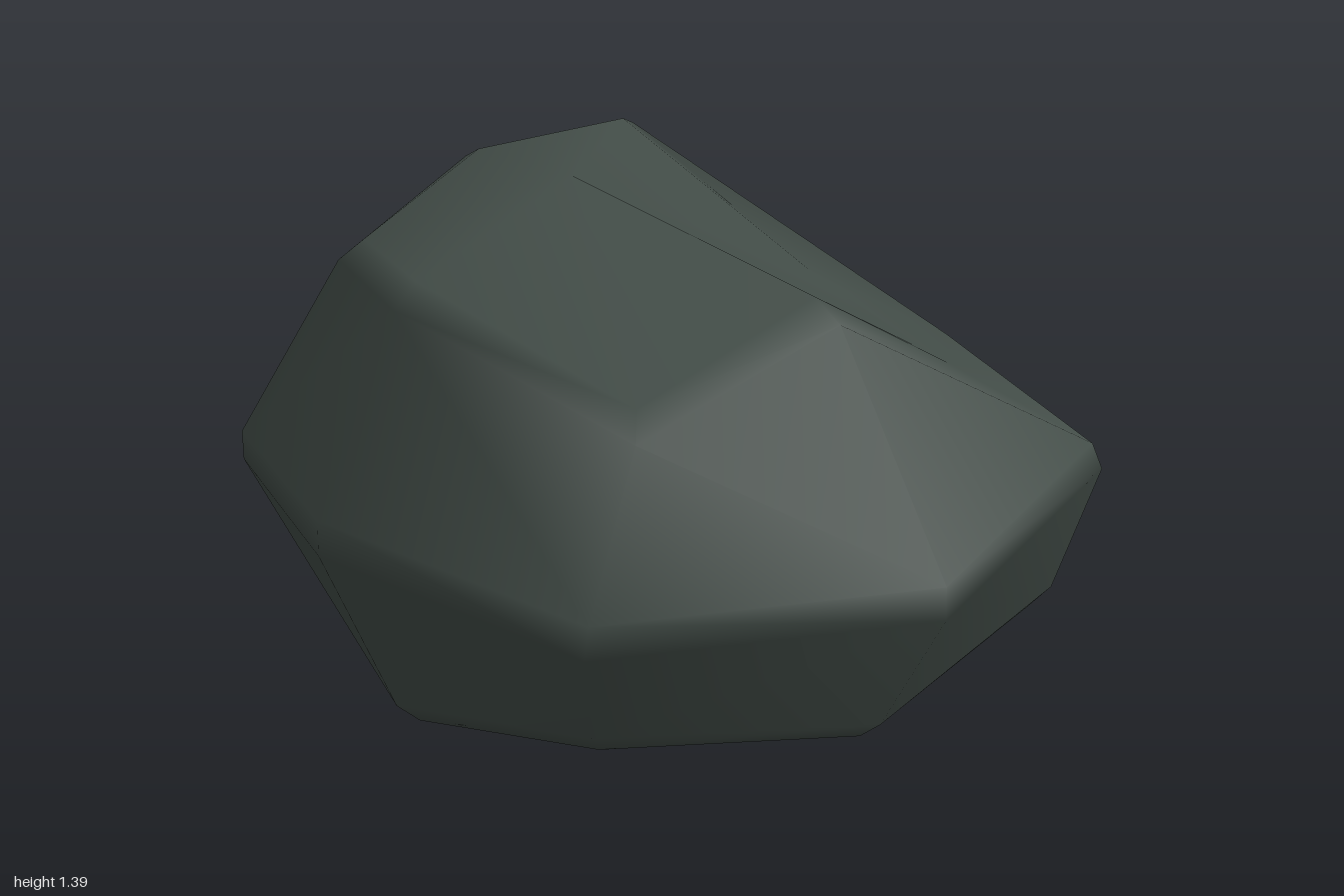
import * as THREE from 'three';

// Cross-sections of the boulder, eight corners each, running left-front-right-back
const toVectors = list => list.map(p => new THREE.Vector3(...p));
const lower = toVectors([
  [-0.88, 0.345, 0], [-0.4, 0.245, 0.61], [0.12, 0.345, 0.81], [0.62, 0.245, 0.37],
  [0.88, 0.345, -0.25], [0.46, 0.245, -0.63], [-0.13, 0.345, -0.95], [-0.61, 0.225, -0.51]]);
const middle = toVectors([
  [-1.017, 0.66, 0.14], [-0.54, 0.73, 0.765], [0.15, 0.66, 0.965], [0.815, 0.63, 0.465],
  [1.016, 0.75, -0.225], [0.53, 0.78, -0.805], [-0.17, 0.91, -0.965], [-0.875, 0.76, -0.65]]);
const upper = toVectors([
  [-0.72, 1.18, 0.1], [-0.4, 1.24, 0.55], [0.2, 1.07, 0.73], [0.49, 1.22, 0.3],
  [0.62, 0.99, -0.1], [0.24, 1.05, -0.41], [-0.22, 1.39, -0.45], [-0.53, 1.35, -0.2]]);
const bottom = new THREE.Vector3(0.02, 0, -0.08);
const top = new THREE.Vector3(-0.17, 1.39, 0.09);

const N = 8, BEVEL = 0.045;

// Move every corner of a ring a short way towards its target
const inset = (ring, target) => ring.map((p, i) => {
  const d = (target[i] ?? target).clone().sub(p).setLength(BEVEL);
  return d.add(p);
});

function boulderGeometry() {
  const points = [
    ...inset(lower, bottom), ...inset(lower, middle),
    ...inset(middle, lower), ...inset(middle, upper),
    ...inset(upper, middle), ...inset(upper, top), bottom, top];
  const bottomIndex = 6 * N, topIndex = 6 * N + 1;

  // Ring of quads between two rows, each split along its outward fold
  const strip = (r0, r1) => {
    const index = [];
    for (let i = 0; i < N; i++) {
      const j = (i + 1) % N;
      const a = r0 * N + i, b = r0 * N + j, c = r1 * N + j, d = r1 * N + i;
      const n = new THREE.Triangle(points[a], points[b], points[c]).getNormal(new THREE.Vector3());
      if (n.dot(points[d].clone().sub(points[a])) <= 0) index.push(a, b, c, a, c, d);
      else index.push(a, b, d, b, c, d);
    }
    return index;
  };
  const fans = [];
  for (let i = 0; i < N; i++) {
    const j = (i + 1) % N;
    fans.push(bottomIndex, j, i, 5 * N + i, 5 * N + j, topIndex);
  }

  // Each band is smooth in itself; bevels blend from one band to the next
  const bands = [...fans, ...strip(1, 2), ...strip(3, 4)];
  const bevels = [...strip(0, 1), ...strip(2, 3), ...strip(4, 5)];
  const geometry = new THREE.BufferGeometry().setFromPoints(points);
  geometry.setIndex(bands);
  geometry.computeVertexNormals();
  geometry.setIndex([...bands, ...bevels]);
  return geometry;
}

export function createModel() {
  const stone = new THREE.MeshStandardMaterial({ color: 0x414b46 });
  stone.name = 'dark stone';
  const boulder = new THREE.Mesh(boulderGeometry(), stone);
  boulder.name = 'boulder';
  const group = new THREE.Group();
  group.name = 'rock';
  group.add(boulder);
  return group;
}
